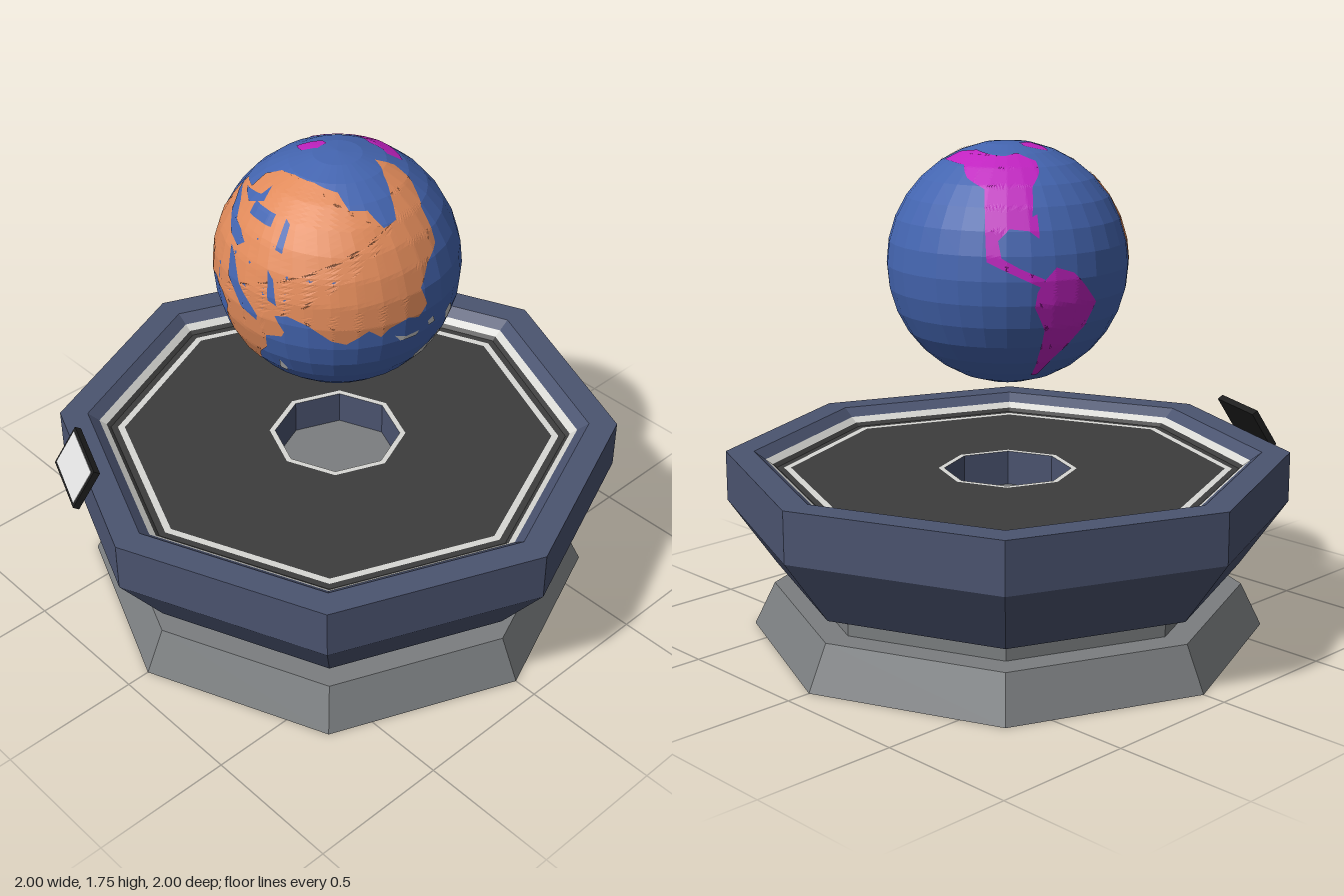
import * as THREE from 'three';

const material = (name, color) => Object.assign(new THREE.MeshStandardMaterial({ color }), { name });
const MAT = {
  hull: material('slate blue', 0x4b5470),
  base: material('base grey', 0x7b7e80),
  floor: material('dark floor', 0x3d3d3d),
  strip: material('light strip', 0xd8d8d4),
  ocean: material('ocean blue', 0x4465b0),
  orange: material('orange land', 0xe08a5a),
  magenta: material('magenta land', 0xc022c0),
  island: material('pale land', 0xc8c8c8),
  frame: material('frame black', 0x1e1e1e),
  screen: material('screen white', 0xe0e0e0),
};
const RAD = Math.PI / 180;
const RADIUS = 0.418, STEP = 11.25; // globe radius and facet size in degrees

// Flat-faced mesh
function faceted(name, mat, geometry) {
  const g = geometry.index ? geometry.toNonIndexed() : geometry;
  g.computeVertexNormals();
  const mesh = new THREE.Mesh(g, mat);
  mesh.name = name;
  return mesh;
}

// Eight-sided ring or solid from [radius, height] points
function octagon(name, mat, points) {
  const profile = points.map(([r, y]) => new THREE.Vector2(r, y));
  return faceted(name, mat, new THREE.LatheGeometry(profile, 8));
}

// Turns points on a flat projection of the globe into [longitude, latitude]
function projection(az, el, cx, cy, r) {
  const a = az * RAD, e = el * RAD;
  const right = new THREE.Vector3(Math.cos(a), 0, -Math.sin(a));
  const toward = new THREE.Vector3(Math.sin(a) * Math.cos(e), Math.sin(e), Math.cos(a) * Math.cos(e));
  const up = new THREE.Vector3().crossVectors(toward, right);
  return (...points) => points.map(([px, py]) => {
    const u = (px - cx) / r, v = (cy - py) / r;
    const p = right.clone().multiplyScalar(u).addScaledVector(up, v)
      .addScaledVector(toward, Math.sqrt(Math.max(0, 1 - u * u - v * v))).normalize();
    const lon = Math.atan2(p.x, p.z) / RAD;
    return [lon > 135 ? lon - 360 : lon, Math.asin(p.y) / RAD];
  });
}
const front = projection(0, 0, 238, 139, 78.2);
const side = projection(90, 0, 686, 139, 78.2);
const top = projection(0, 90, 1134, 224, 78.2);
const back = projection(215, 25, 686, 611, 61);

// Point on the flat facets of the globe
function onGlobe(lon, lat, scale) {
  const corner = (i, j) => new THREE.Vector3().setFromSphericalCoords(
    RADIUS * scale, (90 - j * STEP) * RAD, i * STEP * RAD);
  const i = Math.floor(lon / STEP), j = Math.floor(lat / STEP);
  const u = lon / STEP - i, v = lat / STEP - j;
  return corner(i, j).lerp(corner(i + 1, j), u)
    .lerp(corner(i, j + 1).lerp(corner(i + 1, j + 1), u), v);
}

// Thin patch wrapped on the globe from a [longitude, latitude] outline
function patch(name, mat, outline, scale = 1.005) {
  const shape = new THREE.Shape(outline.map(p => new THREE.Vector2(...p)));
  const flat = new THREE.ShapeGeometry(shape).toNonIndexed().attributes.position;
  let points = [];
  for (let i = 0; i < flat.count; i++) points.push(new THREE.Vector2(flat.getX(i), flat.getY(i)));
  for (let level = 0; level < 4; level++) {
    const next = [];
    for (let i = 0; i < points.length; i += 3) {
      const [a, b, c] = points.slice(i, i + 3);
      const ab = a.clone().lerp(b, 0.5), bc = b.clone().lerp(c, 0.5), ca = c.clone().lerp(a, 0.5);
      next.push(a, ab, ca, ab, b, bc, ca, bc, c, ab, bc, ca);
    }
    points = next;
  }
  const geometry = new THREE.BufferGeometry().setFromPoints(points.map(p => onGlobe(p.x, p.y, scale)));
  return faceted(name, mat, geometry);
}

function createGlobe() {
  const globe = new THREE.Group();
  globe.name = 'globe';
  globe.position.y = 1.327;
  globe.add(faceted('ocean', MAT.ocean, new THREE.SphereGeometry(RADIUS, 32, 16)));

  // Large joined continent: south and west coast, east coast, north coast
  globe.add(patch('easternContinents', MAT.orange, [
    ...front([188, 97], [178, 110], [174, 125], [176, 136], [190, 139], [205, 136], [213, 140], [219, 148],
      [215, 160], [218, 173], [215, 190], [228, 191], [238, 184], [244, 172], [253, 163], [255, 152],
      [266, 149], [268, 145], [262, 135], [270, 133], [282, 137], [292, 147], [298, 150]),
    ...side([648, 141], [655, 147], [660, 142], [672, 138], [680, 141], [687, 134], [683, 122],
      [692, 110], [704, 103], [705, 85]),
    ...top([1172, 199], [1160, 201], [1153, 211], [1166, 216], [1178, 222], [1189, 228], [1189, 238],
      [1178, 241], [1172, 250], [1160, 248], [1145, 253], [1130, 255]),
    ...front([222, 69], [212, 74], [208, 81], [196, 83], [190, 90]),
  ]));

  // Inland seas
  const seas = [
    [[192, 85], [206, 88], [214, 95], [222, 97], [229, 101], [224, 105], [214, 103], [206, 98], [200, 92]],
    [[222, 82], [242, 82], [243, 88], [222, 88]],
    [[204, 83], [222, 79], [226, 74], [228, 80], [216, 85]],
    [[250, 82], [254, 84], [258, 98], [253, 97]],
    [[218, 107], [224, 110], [233, 124], [250, 139], [249, 143], [236, 138], [222, 124]],
    [[253, 108], [258, 113], [263, 128], [257, 126]],
  ];
  seas.forEach(s => globe.add(patch('inlandSea', MAT.ocean, front(...s), 1.009)));

  // Western continents and the northern island
  globe.add(patch('northWestContinent', MAT.magenta, [
    ...top([1076, 188], [1085, 197], [1090, 208], [1098, 213], [1110, 208], [1112, 200], [1120, 196],
      [1135, 198], [1150, 197], [1156, 190], [1145, 185], [1130, 182], [1120, 175]),
    ...back([683, 592], [685, 606], [687, 628], [700, 633], [713, 637], [714, 633], [703, 630],
      [694, 626], [692, 618], [697, 612], [706, 612], [711, 615], [709, 603]),
  ]));
  globe.add(patch('southWestContinent', MAT.magenta, [
    [-118, 0], [-112, 6], [-103, 3], [-96, -4], [-89, -12], [-93, -24], [-100, -34], [-106, -44],
    [-109, -58], [-114, -58], [-116, -40], [-116, -24], [-122, -12], [-121, -5],
  ]));
  globe.add(patch('northernIsland', MAT.magenta,
    top([1106, 232], [1116, 220], [1122, 222], [1123, 230], [1115, 236])));

  // Pale southern islands
  const islands = [
    front([258, 173], [260, 180], [257, 186], [254, 182]),
    side([664, 149], [672, 152], [682, 152], [680, 155], [668, 154]),
    side([689, 148], [694, 147], [696, 152], [690, 152]),
    side([708, 152], [714, 148], [716, 156], [724, 160], [718, 163], [711, 160]),
    side([688, 178], [698, 172], [706, 166], [710, 170], [716, 172], [720, 164], [726, 178],
      [724, 190], [714, 196], [708, 190], [698, 191], [688, 192]),
  ];
  islands.forEach(o => globe.add(patch('southernIsland', MAT.island, o)));
  return globe;
}

function createTablet() {
  const tablet = new THREE.Group();
  tablet.name = 'controlTablet';
  tablet.add(faceted('tabletFrame', MAT.frame, new THREE.BoxGeometry(0.262, 0.158, 0.024)));
  const screen = faceted('tabletScreen', MAT.screen, new THREE.BoxGeometry(0.238, 0.134, 0.006));
  screen.position.z = 0.011;
  tablet.add(screen);
  // Follows the hull edge and leans back
  tablet.rotation.set(-0.56, -22.5 * RAD, 0, 'YXZ');
  tablet.position.set(-0.388, 0.672, 0.865);
  return tablet;
}

export function createModel() {
  const model = new THREE.Group();
  model.name = 'globeTable';
  model.add(
    octagon('base', MAT.base, [[0, 0], [0.915, 0], [0.84, 0.155], [0.745, 0.155], [0.745, 0.235]]),
    octagon('hull', MAT.hull, [[0.7, 0.23], [0.83, 0.23], [1, 0.465], [1, 0.645], [0.9, 0.645], [0.86, 0.615]]),
    octagon('outerLightStrip', MAT.strip, [[0.86, 0.615], [0.835, 0.597]]),
    octagon('floorEdge', MAT.floor, [[0.835, 0.597], [0.82, 0.585], [0.795, 0.585]]),
    octagon('innerLightStrip', MAT.strip, [[0.795, 0.585], [0.77, 0.585]]),
    octagon('floor', MAT.floor, [[0.77, 0.585], [0.245, 0.585]]),
    octagon('wellLightStrip', MAT.strip, [[0.245, 0.585], [0.225, 0.585]]),
    octagon('wellWall', MAT.hull, [[0.225, 0.585], [0.225, 0.46]]),
    octagon('wellFloor', MAT.base, [[0.225, 0.46], [0, 0.46]]),
    createTablet(),
    createGlobe(),
  );
  return model;
}
